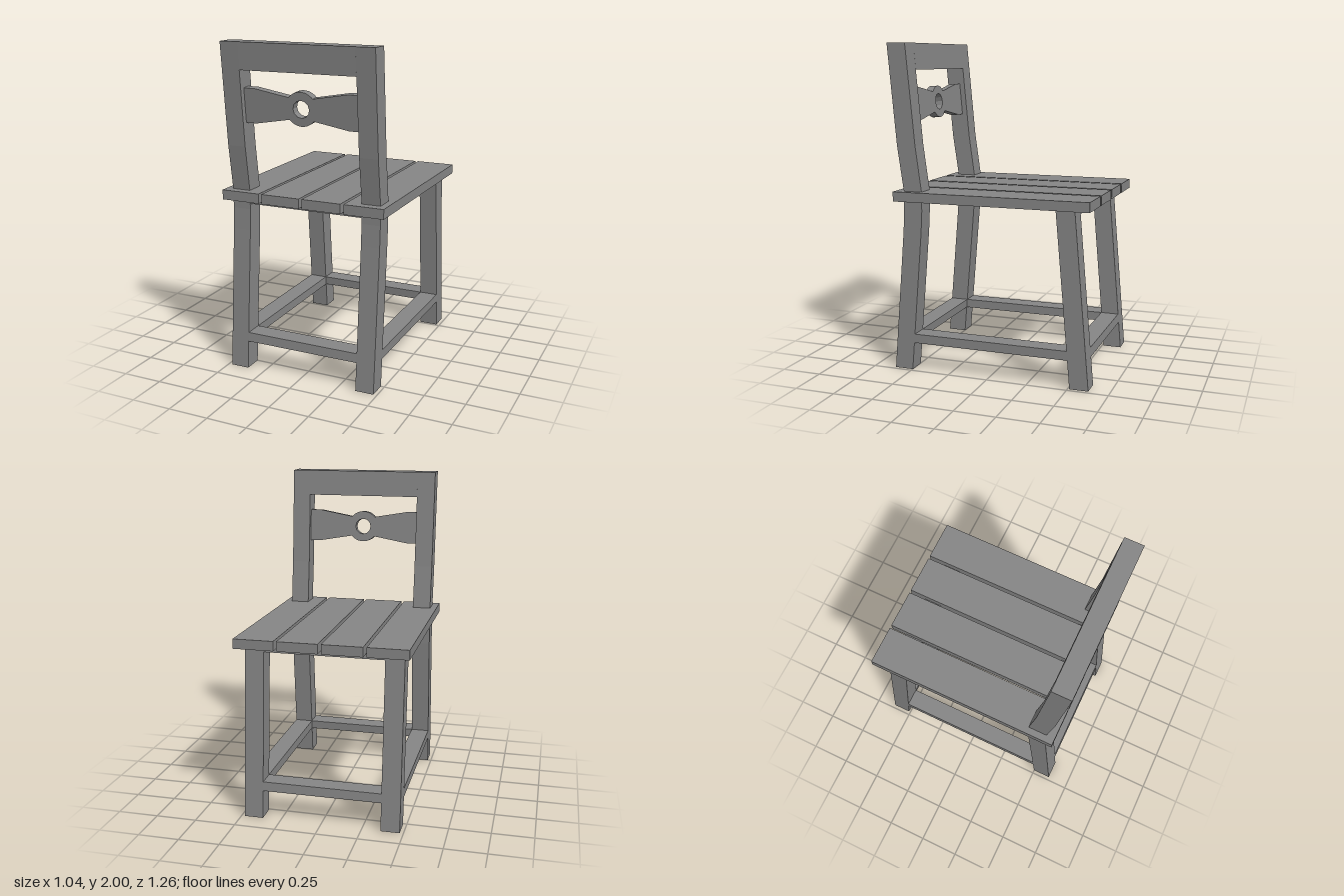
import * as THREE from 'three';

const material = new THREE.MeshStandardMaterial({ color: 0x858585 });

export function createModel() {
  const chair = new THREE.Group();

  const add = (name, geometry) => {
    const mesh = new THREE.Mesh(geometry, material);
    mesh.name = name;
    chair.add(mesh);
  };

  // Side outline given as [z, y] points, extruded across from x0 to x1
  const sideProfile = (name, points, x0, x1) => {
    const shape = new THREE.Shape(points.map(([z, y]) => new THREE.Vector2(z, y)));
    const geometry = new THREE.ExtrudeGeometry(shape, { depth: x1 - x0, bevelEnabled: false });
    geometry.rotateY(-Math.PI / 2).translate(x1, 0, 0);
    add(name, geometry);
  };

  const box = (name, x0, x1, y0, y1, z0, z1) =>
    add(name, new THREE.BoxGeometry(x1 - x0, y1 - y0, z1 - z0)
      .translate((x0 + x1) / 2, (y0 + y1) / 2, (z0 + z1) / 2));

  const inner = 0.363, outer = 0.478;

  // Bent back posts and splayed front legs
  const postOutline = [
    [0.615, 0], [0.543, 0.87], [0.536, 1.0], [0.536, 1.12], [0.575, 1.39], [0.63, 2],
    [0.512, 2], [0.456, 1.39], [0.419, 1.12], [0.419, 1.0], [0.426, 0.87], [0.499, 0],
  ];
  const legOutline = [[-0.511, 0], [-0.418, 1.07], [-0.532, 1.07], [-0.625, 0]];
  for (const [side, x0, x1] of [['left', inner, outer], ['right', -outer, -inner]]) {
    sideProfile(side + 'BackPost', postOutline, x0, x1);
    sideProfile(side + 'FrontLeg', legOutline, x0, x1);
    box(side + 'Stretcher', x0, x1, 0.172, 0.228, -0.5, 0.49);
  }

  // Cross stretchers and aprons follow the slope of the legs
  sideProfile('backStretcher', [[0.601, 0.172], [0.596, 0.228], [0.48, 0.228], [0.485, 0.172]], -inner, inner);
  sideProfile('frontStretcher', [[-0.496, 0.172], [-0.491, 0.228], [-0.605, 0.228], [-0.61, 0.172]], -inner, inner);
  sideProfile('backApron', [[0.536, 1.035], [0.536, 1.07], [0.419, 1.07], [0.419, 1.035]], -inner, inner);
  sideProfile('frontApron', [[-0.422, 1.022], [-0.418, 1.07], [-0.532, 1.07], [-0.536, 1.022]], -inner, inner);

  // Crest rail
  sideProfile('crestRail', [[0.616, 1.84], [0.63, 2], [0.512, 2], [0.497, 1.84]], -inner, inner);

  // Four seat planks
  for (let i = 0; i < 4; i++) {
    const x = (i - 1.5) * 0.2645;
    box('seatPlank', x - 0.1225, x + 0.1225, 1.058, 1.117, -0.63, 0.59);
  }

  // Pierced back slat with a round boss, tilted with the posts
  const radius = 0.1, angle = 0.7;
  const slat = new THREE.Shape();
  slat.moveTo(-inner, -0.103);
  slat.lineTo(-0.295, -0.103);
  slat.absarc(0, 0, radius, Math.PI + angle, 2 * Math.PI - angle, false);
  slat.lineTo(0.295, -0.103);
  slat.lineTo(inner, -0.103);
  slat.lineTo(inner, 0.103);
  slat.lineTo(0.295, 0.103);
  slat.absarc(0, 0, radius, angle, Math.PI - angle, false);
  slat.lineTo(-0.295, 0.103);
  slat.lineTo(-inner, 0.103);
  const hole = new THREE.Path();
  hole.absarc(0, 0, 0.051, 0, Math.PI * 2, true);
  slat.holes.push(hole);
  const slatGeometry = new THREE.ExtrudeGeometry(slat, { depth: 0.05, bevelEnabled: false, curveSegments: 6 });
  slatGeometry.translate(0, 0, -0.025).rotateX(0.09).translate(0, 1.633, 0.537);
  add('backSlat', slatGeometry);

  return chair;
}
